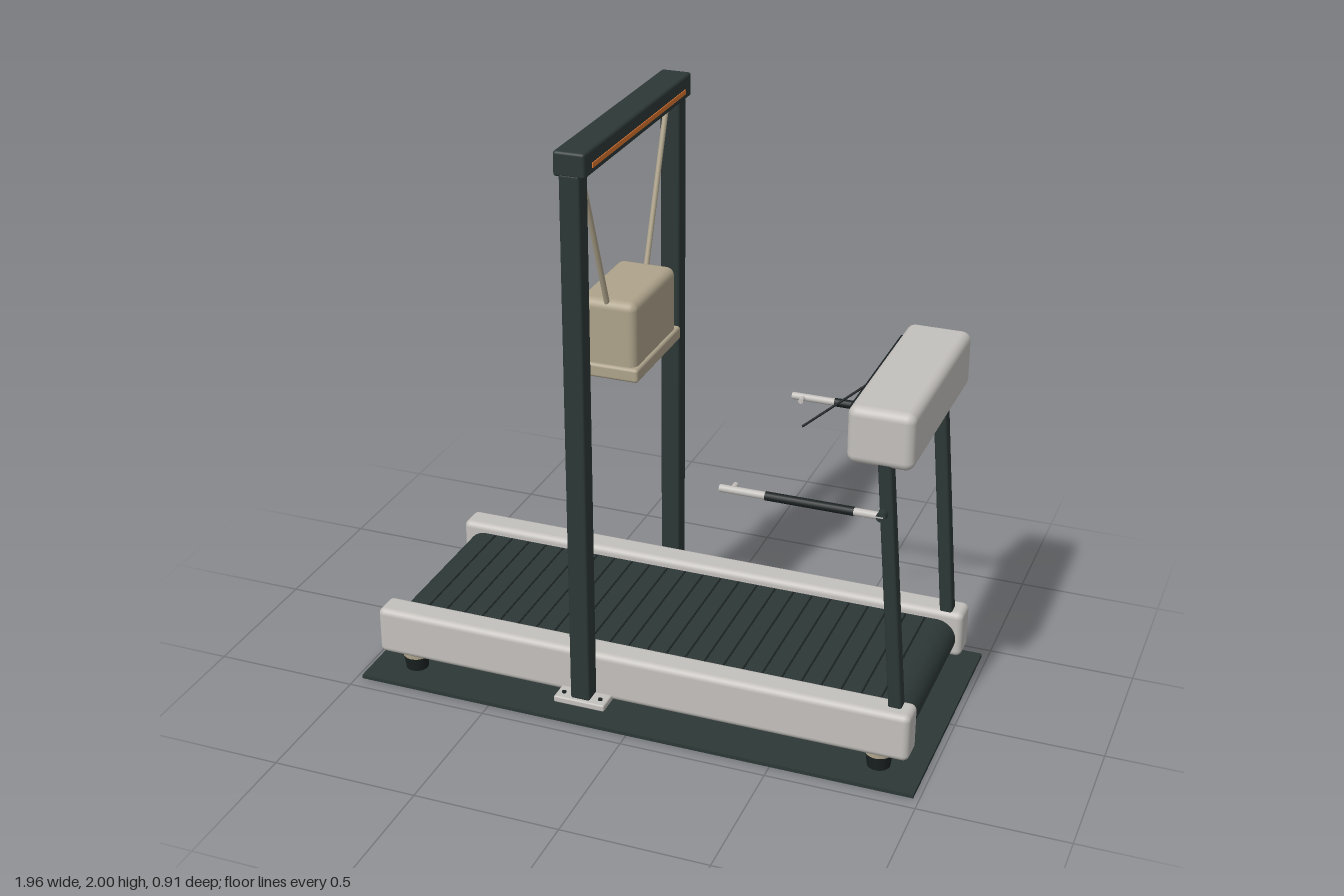
import * as THREE from 'three';
import { RoundedBoxGeometry } from 'three/addons/geometries/RoundedBoxGeometry.js';

const mat = (name, color) => {
  const m = new THREE.MeshStandardMaterial({ color });
  m.name = name;
  return m;
};

export function createModel() {
  const root = new THREE.Group();
  root.name = 'treadmillWithGantry';
  const dark = mat('charcoal', 0x2c3736);
  const black = mat('black', 0x1a2021);
  const grey = mat('lightGrey', 0xc3c0bc);
  const beige = mat('beige', 0xaea38b);
  const orange = mat('orange', 0xd8732f);
  const teal = mat('teal', 0x23737c);

  const add = (name, geo, material, x = 0, y = 0, z = 0) => {
    const m = new THREE.Mesh(geo, material);
    m.name = name;
    m.position.set(x, y, z);
    root.add(m);
    return m;
  };
  // Box given by its min and max on each axis, optionally rounded
  const box = (name, material, [x0, x1], [y0, y1], [z0, z1], r = 0) => {
    const s = [x1 - x0, y1 - y0, z1 - z0];
    const geo = r ? new RoundedBoxGeometry(...s, 4, r) : new THREE.BoxGeometry(...s);
    return add(name, geo, material, (x0 + x1) / 2, (y0 + y1) / 2, (z0 + z1) / 2);
  };
  // Round bar between two points
  const rod = (name, material, a, b, r) => {
    const p = new THREE.Vector3(...a), q = new THREE.Vector3(...b);
    const d = q.clone().sub(p);
    const m = add(name, new THREE.CylinderGeometry(r, r, d.length(), 16), material);
    m.position.copy(p).add(q).multiplyScalar(0.5);
    m.quaternion.setFromUnitVectors(new THREE.Vector3(0, 1, 0), d.normalize());
    return m;
  };

  // Floor mat
  box('floorMat', dark, [-0.98, 0.98], [0, 0.013], [-0.45, 0.45]);

  // Running belt: a loop with round ends
  const loop = new THREE.Shape();
  const r = 0.069, ex = 0.85;
  loop.moveTo(-ex, -r);
  loop.lineTo(ex, -r);
  loop.absarc(ex, 0, r, -Math.PI / 2, Math.PI / 2, false);
  loop.lineTo(-ex, r);
  loop.absarc(-ex, 0, r, Math.PI / 2, Math.PI * 1.5, false);
  const beltGeo = new THREE.ExtrudeGeometry(loop, { depth: 0.58, bevelEnabled: false, curveSegments: 16 });
  add('runningBelt', beltGeo, dark, 0, 0.149, -0.29);
  // Grooves between the belt slats
  for (let i = 0; i < 25; i++) {
    const x = -0.81 + i * 0.0675;
    box('beltGroove', black, [x - 0.003, x + 0.003], [0.216, 0.2195], [-0.28, 0.28]);
  }

  for (const s of [-1, 1]) {
    const span = (a, b) => (s > 0 ? [a, b] : [-b, -a]);

    // Side rail
    box('sideRail', grey, [-0.94, 0.94], [0.08, 0.25], span(0.285, 0.388), 0.022);

    // Feet
    for (const x of [-0.83, 0.83]) {
      add('footCollar', new THREE.CylinderGeometry(0.046, 0.046, 0.02, 24), beige, x, 0.073, s * 0.325);
      add('foot', new THREE.CylinderGeometry(0.045, 0.038, 0.054, 24), black, x, 0.038, s * 0.325);
    }

    // Gantry post and its base plate
    box('gantryPost', dark, [-0.198, -0.13], [0.1, 1.93], span(0.382, 0.447), 0.008);
    box('postBase', grey, [-0.255, -0.075], [0.077, 0.101], span(0.375, 0.457), 0.006);
    for (const x of [-0.23, -0.1]) {
      add('baseBolt', new THREE.CylinderGeometry(0.008, 0.008, 0.006, 6), black, x, 0.103, s * 0.425);
    }

    // Hanging strap
    rod('hangingStrap', beige, [-0.164, 1.93, s * 0.362], [-0.164, 1.4, s * 0.163], 0.009);

    // Leaning console mast
    const mast = box('consoleMast', dark, [-0.022, 0.022], [-0.445, 0.445], [-0.024, 0.024], 0.008);
    mast.position.set(0.843, 0.67, s * 0.32);
    mast.rotation.z = Math.atan2(0.07, 0.86);

    // Handrail with grip, bent tip and bracket
    const z = s * 0.362, y = 0.935;
    rod('handrail', grey, [0.29, y, z], [0.82, y, z], 0.0125);
    rod('handrailGrip', black, [0.44, y, z], [0.725, y, z], 0.0145);
    rod('handrailTip', grey, [0.33, y, z], [0.33, y, s * 0.325], 0.009);
    rod('handrailBracket', dark, [0.812, y, z + s * 0.012], [0.812, y, s * 0.32], 0.016);
  }

  // Access panels with screws on the back rail
  for (const [x0, x1] of [[-0.6, -0.28], [0.15, 0.52]]) {
    box('accessPanel', grey, [x0, x1], [0.14, 0.19], [-0.392, -0.386]);
    for (let i = 0; i < 5; i++) {
      const x = x0 + 0.03 + (i * (x1 - x0 - 0.06)) / 4;
      box('panelScrew', black, [x - 0.004, x + 0.004], [0.161, 0.169], [-0.394, -0.39]);
    }
  }

  // Gantry crossbeam with light strip and post plate
  box('crossbeam', dark, [-0.216, -0.112], [1.92, 2], [-0.447, 0.447], 0.01);
  box('beamStrip', orange, [-0.114, -0.109], [1.941, 1.957], [-0.39, 0.39]);
  box('postPlate', grey, [-0.194, -0.134], [1.52, 1.62], [-0.451, -0.445]);

  // Suspended weight
  box('suspendedBlock', beige, [-0.265, -0.063], [1.18, 1.424], [-0.182, 0.182], 0.028);
  box('blockTray', beige, [-0.277, -0.052], [1.16, 1.207], [-0.194, 0.194], 0.01);

  // Console with display and stop button
  box('consoleBody', grey, [0.685, 0.898], [1.085, 1.276], [-0.35, 0.35], 0.03);
  box('consoleFascia', black, [0.677, 0.686], [1.112, 1.25], [-0.285, 0.285]);
  box('consoleScreen', teal, [0.672, 0.678], [1.13, 1.235], [-0.125, 0.235]);
  const button = add('stopButton', new THREE.CylinderGeometry(0.026, 0.026, 0.024, 24), orange, 0.667, 1.185, -0.212);
  button.rotation.z = Math.PI / 2;

  // Safety cord
  rod('safetyCord', black, [0.675, 1.165, -0.207], [0.395, 0.935, -0.145], 0.004);

  return root;
}
